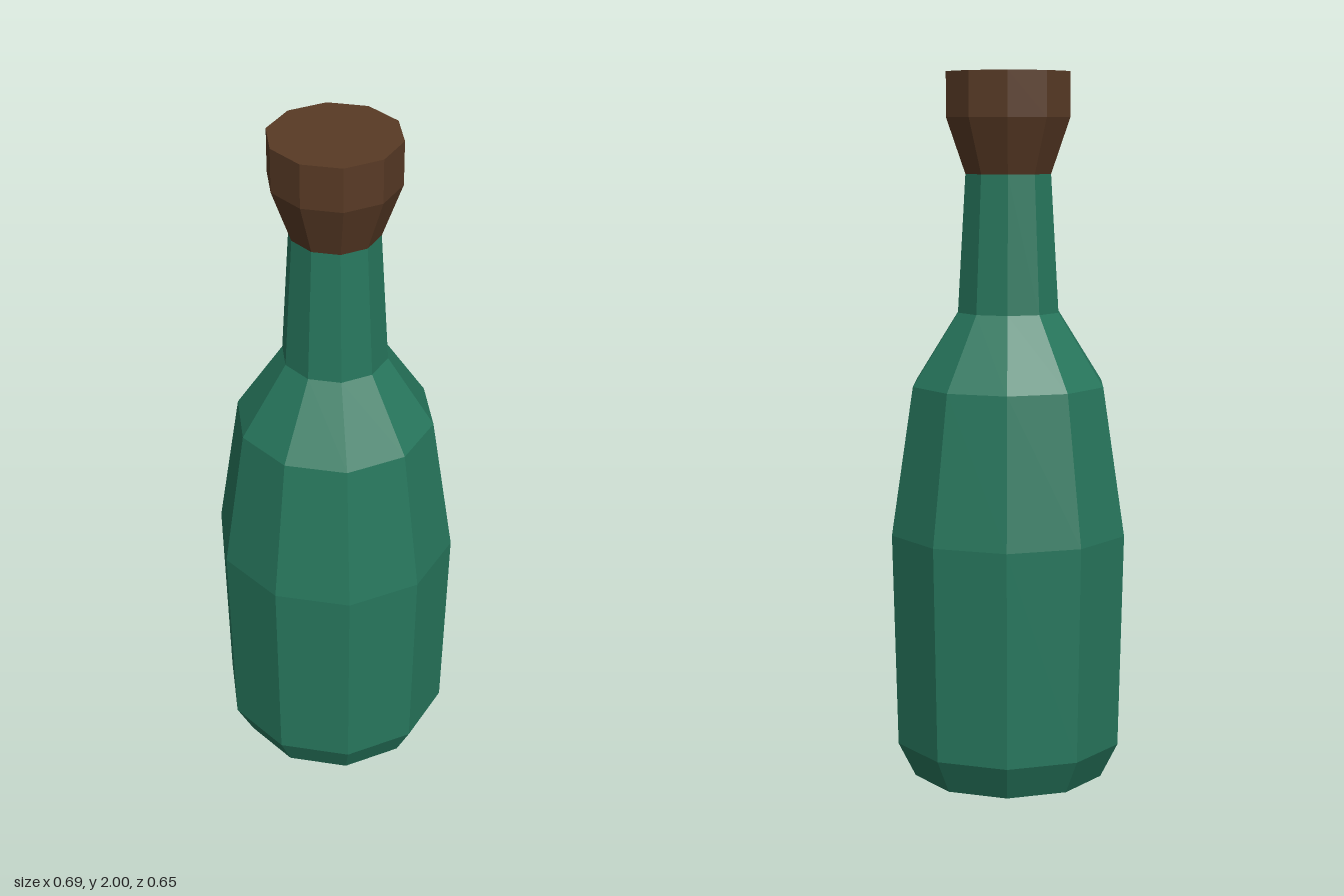
import * as THREE from 'three';

const SIDES = 10;

// Faceted solid of revolution from [radius, height] pairs, listed bottom to top
function turned(name, profile, color) {
  const points = profile.map(([r, y]) => new THREE.Vector2(r, y));
  // start a quarter turn round so that corners lie on the x axis
  const geometry = new THREE.LatheGeometry(points, SIDES, Math.PI / 2);
  const mesh = new THREE.Mesh(geometry, new THREE.MeshStandardMaterial({ color, flatShading: true }));
  mesh.name = name;
  return mesh;
}

export function createModel() {
  const bottle = new THREE.Group();
  bottle.name = 'bottle';

  // Glass: closed base, bevel, belly, shoulder and tapering neck
  bottle.add(turned('glassBody', [
    [0, 0], [0.28, 0], [0.33, 0.1], [0.344, 0.71],
    [0.28, 1.13], [0.148, 1.335], [0.125, 1.72],
  ], 0x27775d));

  // Cork: flares out of the neck, then a straight-sided head with a flat top
  bottle.add(turned('cork', [
    [0, 1.72], [0.125, 1.72], [0.18, 1.875], [0.18, 2], [0, 2],
  ], 0x583a25));

  return bottle;
}
